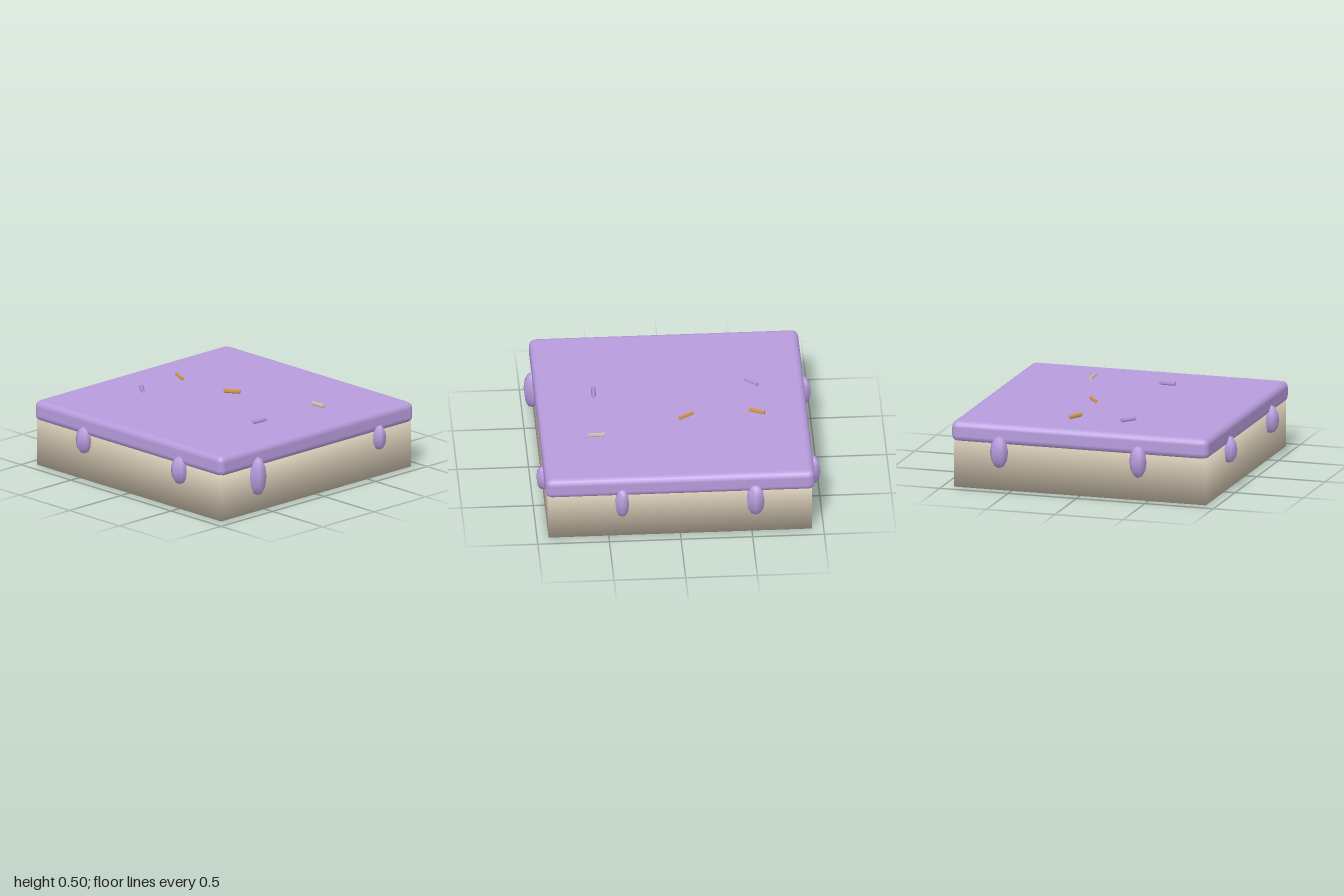
import * as THREE from 'three';
import { mergeVertices } from 'three/addons/utils/BufferGeometryUtils.js';
import { RoundedBoxGeometry } from 'three/addons/geometries/RoundedBoxGeometry.js';

const material = (name, color) => {
  const m = new THREE.MeshStandardMaterial({ color });
  m.name = name;
  return m;
};

export function createModel() {
  const icing = material('lavender icing', 0xb79bdc);
  const sponge = material('cream sponge', 0xd2c6b1);
  const amber = material('amber sugar', 0xd39b48);

  const model = new THREE.Group();
  model.name = 'frostedCakeSlab';
  const add = (name, geometry, mat, x, y, z) => {
    const mesh = new THREE.Mesh(geometry, mat);
    mesh.name = name;
    mesh.position.set(x, y, z);
    model.add(mesh);
    return mesh;
  };

  // Sponge base: corners share one normal, giving soft shading over the block
  let base = new THREE.BoxGeometry(1.84, 0.34, 1.84);
  base.deleteAttribute('normal');
  base.deleteAttribute('uv');
  base = mergeVertices(base);
  base.computeVertexNormals();
  add('spongeBase', base, sponge, 0, 0.17, 0);

  // Icing slab with softly rounded edges
  add('icingSlab', new RoundedBoxGeometry(1.88, 0.148, 1.88, 2, 0.045), icing, 0, 0.398, 0);

  // Icing drips: six-sided stretched spheres [x, z, radius, bottom, top]
  const dripShape = new THREE.SphereGeometry(1, 6, 6).rotateY(Math.PI / 6);
  [
    [-0.435, 0.935, 0.062, 0.195, 0.39],
    [0.52, 0.935, 0.064, 0.187, 0.39],
    [-0.524, -0.93, 0.07, 0.145, 0.39],
    [0.407, -0.935, 0.055, 0.165, 0.39],
    [0.938, 0.585, 0.066, 0.122, 0.405],
    [0.937, -0.595, 0.053, 0.197, 0.38],
    [-0.94, -0.585, 0.066, 0.16, 0.39],
    [-0.94, 0.43, 0.063, 0.165, 0.395],
  ].forEach(([x, z, r, bottom, top]) => {
    add('icingDrip', dripShape, icing, x, (bottom + top) / 2, z)
      .scale.set(r, (top - bottom) / 2, r);
  });

  // Sprinkles: four-sided sticks lying on the icing [x, z, turn, material]
  const stick = new THREE.CylinderGeometry(0.016, 0.016, 0.115, 4).rotateZ(Math.PI / 2);
  [
    [-0.585, -0.138, -0.45, amber],
    [-0.09, -0.165, 0.58, amber],
    [0.553, -0.377, 0.03, sponge],
    [-0.57, 0.243, -0.72, icing],
    [0.536, 0.177, 1.53, icing],
  ].forEach(([x, z, turn, mat]) => {
    add('sprinkle', stick, mat, x, 0.487, z).rotation.y = turn;
  });

  return model;
}
